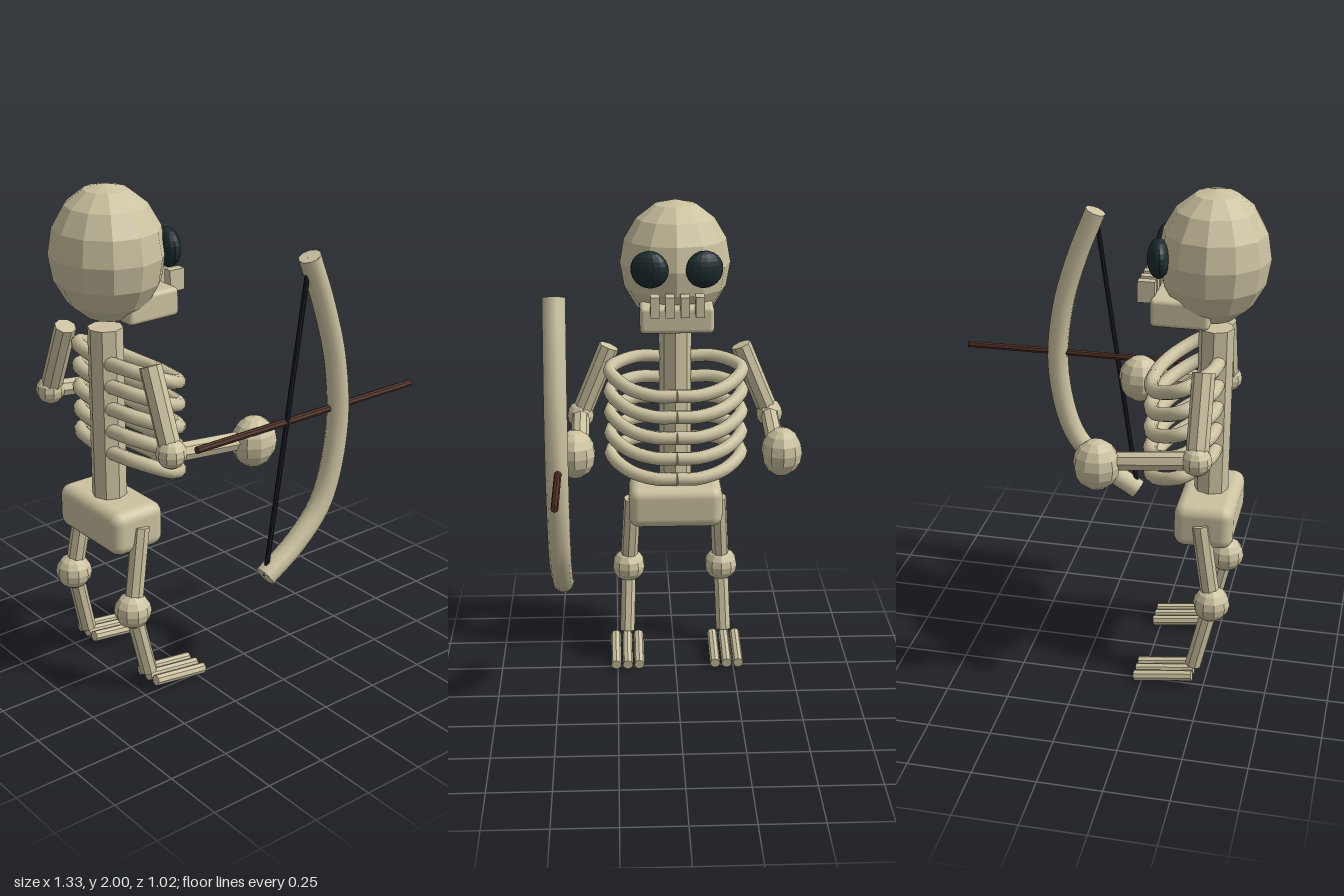
import * as THREE from 'three';
import { RoundedBoxGeometry } from 'three/addons/geometries/RoundedBoxGeometry.js';

const mat = (name, color) => {
  const m = new THREE.MeshStandardMaterial({ color });
  m.name = name;
  return m;
};
const V = (x, y, z) => new THREE.Vector3(x, y, z);

// Faceted copy of a geometry
function flat(geo) {
  const g = geo.index ? geo.toNonIndexed() : geo;
  g.computeVertexNormals();
  return g;
}

export function createModel() {
  const bone = mat('bone', 0xcbc2a0);
  const eyeDark = mat('eye dark', 0x1c2b2e);
  const stringDark = mat('string dark', 0x1c1e28);
  const wood = mat('arrow wood', 0x4c2e22);

  const model = new THREE.Group();
  model.name = 'skeletonArcher';

  const add = (name, geo, material = bone, parent = model) => {
    const m = new THREE.Mesh(geo, material);
    m.name = name;
    parent.add(m);
    return m;
  };
  // Faceted ellipsoid
  const ball = (name, c, r, w = 10, h = 8, material = bone, parent = model) => {
    const g = flat(new THREE.SphereGeometry(1, w, h).scale(r.x, r.y, r.z));
    const m = add(name, g, material, parent);
    m.position.copy(c);
    return m;
  };
  // Straight faceted rod between two points
  const rod = (name, a, b, r, material = bone, parent = model) => {
    const d = b.clone().sub(a);
    const g = flat(new THREE.CylinderGeometry(r, r, d.length(), 8));
    const m = add(name, g, material, parent);
    m.position.copy(a).add(b).multiplyScalar(0.5);
    m.quaternion.setFromUnitVectors(V(0, 1, 0), d.normalize());
    return m;
  };
  const block = (name, size, c, r) => {
    const m = add(name, new RoundedBoxGeometry(...size, 3, r));
    m.position.copy(c);
    return m;
  };
  // Smooth tube with closed ends
  const tube = (name, points, r, segs, parent = model) => {
    const curve = new THREE.CatmullRomCurve3(points);
    add(name, new THREE.TubeGeometry(curve, segs, r, 10), bone, parent);
    [0, 1].forEach((t) => {
      const cap = add(name + 'End', new THREE.CircleGeometry(r, 10), bone, parent);
      cap.position.copy(curve.getPointAt(t));
      const dir = curve.getTangentAt(t).multiplyScalar(t ? 1 : -1);
      cap.quaternion.setFromUnitVectors(V(0, 0, 1), dir);
    });
  };

  const Z = -0.007; // body centre line

  // Head
  ball('skull', V(-0.455, 1.742, Z), V(0.213, 0.258, 0.227), 12, 8);
  block('jaw', [0.225, 0.11, 0.3], V(-0.35, 1.55, Z), 0.018);
  for (let i = 0; i < 4; i++) {
    const tooth = add('tooth', new THREE.BoxGeometry(0.066, 0.083, 0.036));
    tooth.position.set(-0.216, 1.617, Z + (i - 1.5) * 0.06);
  }

  // Trunk
  rod('spine', V(-0.471, 0.7, Z), V(-0.471, 1.46, Z), 0.068);
  block('pelvis', [0.233, 0.18, 0.402], V(-0.468, 0.69, Z), 0.045);

  [1, -1].forEach((s) => {
    const side = new THREE.Group();
    side.name = s > 0 ? 'nearSide' : 'farSide';
    side.position.z = Z;
    model.add(side);
    const P = (x, y, z) => V(x, y, s * z);

    // Eye
    const eye = ball('eye', P(-0.262, 1.754, 0.11), V(0.043, 0.075, 0.078), 16, 12, eyeDark, side);
    eye.rotation.y = -s * 0.25;

    // Ribs, sloping down towards the breast
    for (let i = 0; i < 5; i++) {
      const y = 0.876 + i * 0.09;
      tube('rib', [
        P(-0.49, y + 0.095, 0.03), P(-0.475, y + 0.1, 0.17), P(-0.39, y + 0.072, 0.275),
        P(-0.287, y + 0.024, 0.205), P(-0.238, y, 0.09), P(-0.232, y, 0),
      ], 0.028, 24, side);
    }

    // Arm
    const shoulder = P(-0.468, 1.385, 0.276);
    const elbow = P(-0.47, 1.085, 0.4);
    rod('upperArm', shoulder, elbow, 0.043, bone, side);
    ball('elbow', elbow, V(0.058, 0.058, 0.058), 10, 8, bone, side);
    rod('forearm', elbow, P(-0.1, 1.045, 0.398), 0.037, bone, side);
    ball('hand', P(-0.097, 1.04, 0.417), V(0.09, 0.1, 0.084), 10, 8, bone, side);

    // Leg
    const knee = P(-0.516, 0.368, 0.204);
    const ankle = P(-0.452, 0.08, 0.214);
    rod('thigh', P(-0.46, 0.705, 0.185), knee, 0.037, bone, side);
    ball('knee', knee, V(0.073, 0.073, 0.073), 10, 8, bone, side);
    rod('shin', knee, ankle, 0.034, bone, side);

    // Toes
    for (let i = -1; i <= 1; i++) {
      const z = 0.214 + i * 0.05;
      rod('toe', P(-0.455, 0.057, z), P(-0.22, 0.025, z), 0.022, bone, side);
    }
  });

  // Bow, string and arrow
  const bz = 0.47;
  tube('bow', [
    V(0.108, 1.735, bz), V(0.187, 1.53, bz), V(0.25, 1.3, bz), V(0.27, 1.02, bz),
    V(0.2, 0.73, bz), V(0.07, 0.585, bz), V(-0.082, 0.485, bz),
  ], 0.044, 32);
  rod('bowString', V(0.108, 1.73, bz), V(-0.08, 0.49, bz), 0.01, stringDark);
  rod('arrow', V(-0.41, 1.106, 0.465), V(0.666, 1.106, 0.465), 0.014, wood);

  return model;
}
